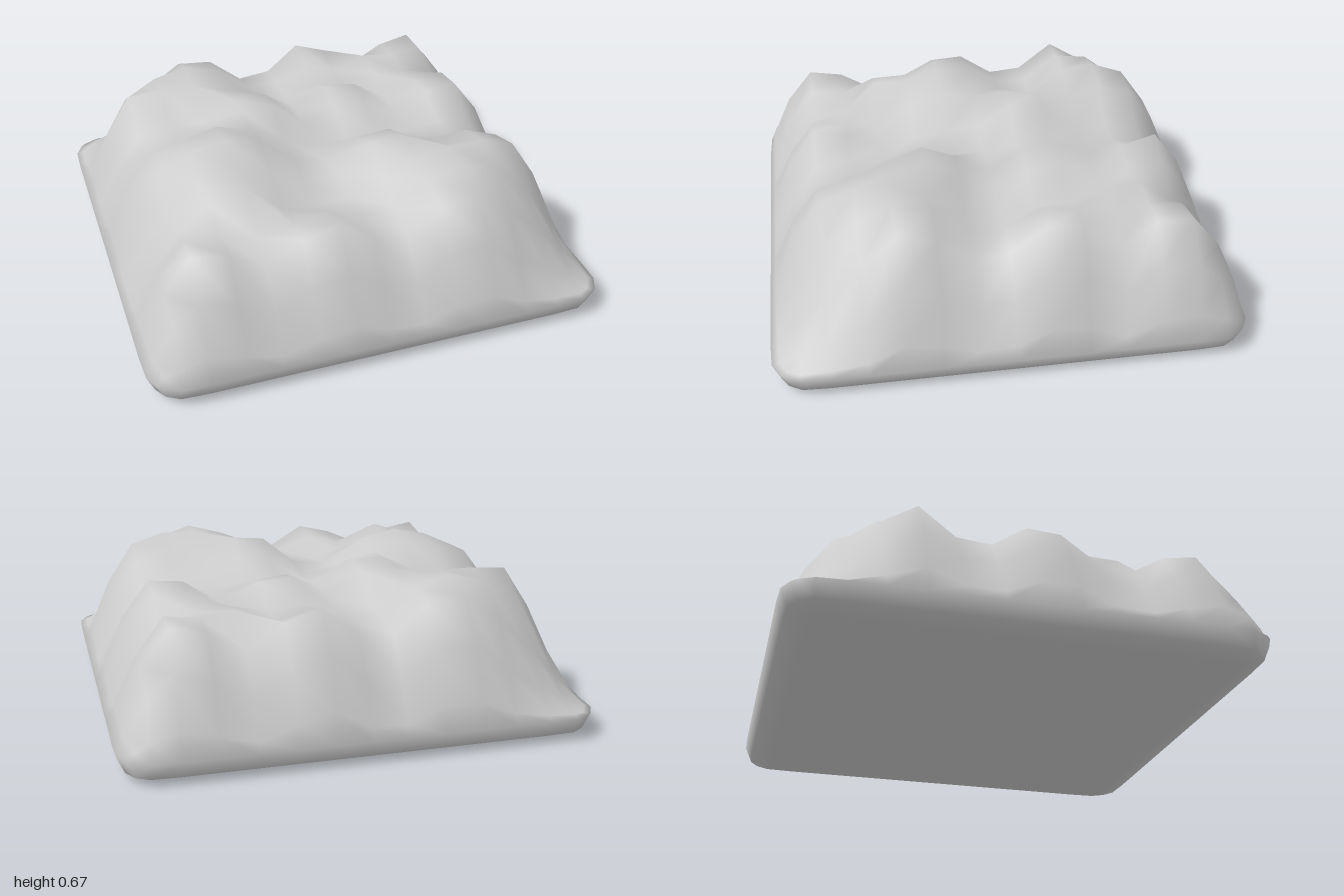
import * as THREE from 'three';
import { mergeVertices } from 'three/addons/utils/BufferGeometryUtils.js';

// Grid lines, closer together at the rounded rim
const LINES = [-1, -0.97, -0.88, -0.76, -0.61, -0.46, -0.3, -0.15, 0,
  0.15, 0.3, 0.46, 0.61, 0.76, 0.88, 0.97, 1];

// Hillocks: x, z, peak height, radius
const HILLS = [
  // broad hill at the middle left
  [-0.46, 0.12, 0.67, 0.28], [-0.5, 0.4, 0.64, 0.16], [-0.22, -0.2, 0.63, 0.22], [-0.74, 0.06, 0.61, 0.2],
  // back left
  [-0.46, -0.58, 0.645, 0.25], [-0.7, -0.48, 0.65, 0.18], [-0.4, -0.74, 0.62, 0.2],
  // back right
  [0.17, -0.76, 0.62, 0.18], [0.76, -0.72, 0.61, 0.2],
  [0.2, -0.27, 0.6, 0.2], [0.74, -0.2, 0.61, 0.2], [0.52, -0.56, 0.57, 0.16],
  // front right
  [0.45, 0.52, 0.645, 0.25], [0.66, 0.42, 0.65, 0.2], [0.25, 0.3, 0.64, 0.22], [0.42, 0.74, 0.61, 0.2],
  // front left
  [-0.76, 0.76, 0.6, 0.2], [-0.17, 0.76, 0.59, 0.19],
];
const VALLEY = 0.46, CORNER = 0.16, RIM_Y = 0.1;

// Piecewise-linear lookup of a short profile
function lookup(profile, t) {
  for (let i = 1; i < profile.length; i++) {
    const [a, ya] = profile[i - 1], [b, yb] = profile[i];
    if (t <= b) return ya + (yb - ya) * (t - a) / (b - a);
  }
  return profile[profile.length - 1][1];
}
const SHOULDER = [[0, 1], [0.61, 1], [0.76, 0.95], [0.88, 0.65], [0.97, 0.24], [1, 0]];
const UNDERSIDE = [[0, 0], [0.87, 0], [0.88, 0.003], [0.97, 0.03], [1, RIM_Y]];

// Height of the rolling ground, with troughs along x = 0 and, on the +x half, z = 0
function groundHeight(x, z) {
  const cx = THREE.MathUtils.clamp(x, -0.78, 0.78);
  const cz = THREE.MathUtils.clamp(z, -0.78, 0.78);
  let h = VALLEY;
  for (const [hx, hz, peak, radius] of HILLS) {
    const d = Math.hypot(cx - hx, cz - hz) / radius;
    h = Math.max(h, VALLEY + (peak - VALLEY) * Math.exp(-(d ** 3)));
  }
  h = Math.min(h, 0.5 + 0.85 * Math.abs(x));
  return x > 0 ? Math.min(h, 0.5 + 0.75 * Math.abs(z)) : h;
}

// The sides fall away faster below a valley than below a hill,
// and the front left and back right corners (x and z of one sign) slope down early
function topY(x, z) {
  const h = groundHeight(x, z);
  const fall = lookup(SHOULDER, Math.abs(x)) * lookup(SHOULDER, Math.abs(z));
  const cut = 0.5 * THREE.MathUtils.smoothstep(Math.abs(x + z), 1.25, 1.8);
  return RIM_Y + (h - RIM_Y) * (1 - cut) * fall ** (1 + 4 * Math.max(0, 0.61 - h));
}

function bottomY(x, z) {
  return lookup(UNDERSIDE, Math.max(Math.abs(x), Math.abs(z)));
}

// Pull the square corners of the plan onto a round arc
function roundCorner(x, z) {
  const inner = 1 - CORNER;
  const ax = Math.abs(x) - inner, az = Math.abs(z) - inner;
  if (ax <= 0 || az <= 0) return [x, z];
  const s = Math.max(ax, az) / Math.hypot(ax, az);
  return [Math.sign(x) * (inner + ax * s), Math.sign(z) * (inner + az * s)];
}

function buildBlock() {
  const n = LINES.length, positions = [], indices = [];
  for (const [heightAt, isTop] of [[topY, true], [bottomY, false]]) {
    const start = positions.length / 3;
    for (const x of LINES) {
      for (const z of LINES) {
        const [px, pz] = roundCorner(x, z);
        positions.push(px, heightAt(x, z), pz);
      }
    }
    for (let i = 0; i < n - 1; i++) {
      for (let j = 0; j < n - 1; j++) {
        const a = start + i * n + j, b = a + 1, c = a + n + 1, d = a + n;
        if (isTop) indices.push(a, b, c, a, c, d);
        else indices.push(a, c, b, a, d, c);
      }
    }
  }
  let geometry = new THREE.BufferGeometry();
  geometry.setAttribute('position', new THREE.Float32BufferAttribute(positions, 3));
  geometry.setIndex(indices);
  geometry = mergeVertices(geometry, 1e-4); // joins top and underside at the rim
  geometry.computeVertexNormals();
  return geometry;
}

export function createModel() {
  const group = new THREE.Group();
  group.name = 'groundTile';
  const block = new THREE.Mesh(buildBlock(), new THREE.MeshStandardMaterial({ color: 0xcccccc }));
  block.name = 'hillyGroundBlock';
  group.add(block);
  return group;
}
